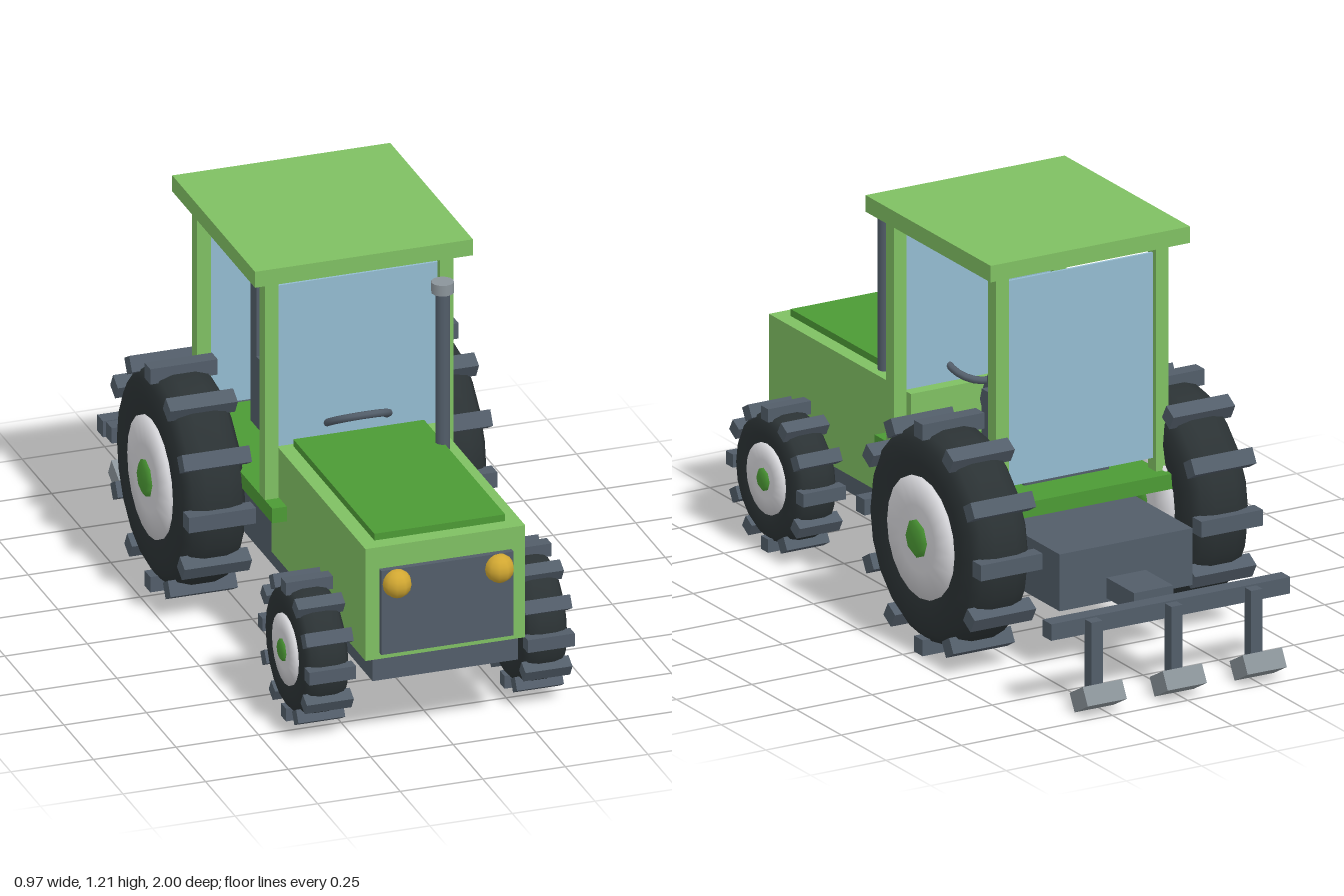
import * as THREE from 'three';

const mat = (name, color, extra = {}) => {
  const m = new THREE.MeshStandardMaterial({ color, ...extra });
  m.name = name;
  return m;
};

export function createModel() {
  const green = mat('leafGreen', 0x7fbf62);
  const darkGreen = mat('deepGreen', 0x4c9a35);
  const slate = mat('slate', 0x525d69);
  const rubber = mat('rubber', 0x2b3234);
  const rimWhite = mat('rimWhite', 0xd6d6da);
  const steel = mat('steel', 0x8b949a);
  const amber = mat('amber', 0xd2a832);
  const glass = mat('glassBlue', 0x93bbd0);

  const tractor = new THREE.Group();
  tractor.name = 'tractor';

  const add = (parent, name, geometry, material, x = 0, y = 0, z = 0) => {
    const mesh = new THREE.Mesh(geometry, material);
    mesh.name = name;
    mesh.position.set(x, y, z);
    parent.add(mesh);
    return mesh;
  };
  // Box given by its extents on each axis
  const box = (name, material, [x0, x1], [y0, y1], [z0, z1], parent = tractor) =>
    add(parent, name, new THREE.BoxGeometry(x1 - x0, y1 - y0, z1 - z0), material,
      (x0 + x1) / 2, (y0 + y1) / 2, (z0 + z1) / 2);
  const lathe = (points, sides) =>
    new THREE.LatheGeometry(points.map(p => new THREE.Vector2(...p)), sides).rotateZ(-Math.PI / 2);

  // Chassis and engine body
  box('chassis', slate, [-0.22, 0.22], [0.21, 0.277], [-0.655, 0.932]);
  box('rearHousing', slate, [-0.22, 0.22], [0.21, 0.382], [-0.655, 0.14]);
  box('engineBody', green, [-0.242, 0.242], [0.277, 0.628], [0.14, 0.933]);
  box('hoodPlate', darkGreen, [-0.198, 0.198], [0.628, 0.649], [0.2, 0.886]);
  box('grille', slate, [-0.2, 0.2], [0.297, 0.56], [0.93, 0.951]);
  for (const s of [-1, 1]) {
    add(tractor, 'headlight', new THREE.SphereGeometry(0.043, 10, 8), amber, s * 0.155, 0.518, 0.957);
  }

  // Exhaust
  add(tractor, 'exhaustPipe', new THREE.CylinderGeometry(0.021, 0.021, 0.5, 12), slate, 0.197, 0.87, 0.36);
  add(tractor, 'exhaustCap', new THREE.CylinderGeometry(0.033, 0.033, 0.033, 12), steel, 0.197, 1.136, 0.36);

  // Cab
  box('cabFloor', darkGreen, [-0.286, 0.286], [0.428, 0.474], [-0.45, 0.268]);
  box('roof', green, [-0.33, 0.33], [1.164, 1.214], [-0.455, 0.245]);
  for (const z of [0.183, -0.389]) {
    for (const x of [-0.265, 0.265]) {
      box('cabPost', green, [x - 0.021, x + 0.021], [0.474, 1.164], [z - 0.022, z + 0.022]);
    }
    box(z > 0 ? 'windscreen' : 'rearWindow', glass, [-0.244, 0.244], [0.51, 1.132], [z - 0.004, z + 0.004]);
  }

  // Seat
  box('seatBase', slate, [-0.14, 0.14], [0.474, 0.695], [-0.323, -0.083]);
  box('seatBack', slate, [-0.14, 0.14], [0.695, 0.913], [-0.323, -0.275]);

  // Steering: tilted ring and column
  const ring = add(tractor, 'steeringWheel',
    new THREE.TorusGeometry(0.091, 0.011, 8, 24).rotateX(Math.PI / 2), slate, 0, 0.681, 0.19);
  ring.rotation.x = -0.51;
  const column = add(tractor, 'steeringColumn',
    new THREE.CylinderGeometry(0.013, 0.013, 0.17, 8), slate, 0, 0.604, 0.122);
  column.rotation.x = -0.51;

  // Wheels: tyre with lugs, rim and hub, axis along x
  const makeWheel = (name, { radius, outer, half, rimR, hubR, lug }) => {
    const wheel = new THREE.Group();
    wheel.name = name;
    const h = half * 0.96;
    add(wheel, 'tyre', lathe([
      [rimR * 0.95, -h * 0.9], [rimR * 1.25, -h], [radius * 0.87, -h * 0.95], [radius * 0.96, -h * 0.75],
      [radius, -h * 0.35], [radius, h * 0.35],
      [radius * 0.96, h * 0.75], [radius * 0.87, h * 0.95], [rimR * 1.25, h], [rimR * 0.95, h * 0.9],
    ], 20), rubber);
    const r = half * 1.07;
    add(wheel, 'rim', lathe([[0, -r], [rimR * 0.55, -r * 0.98], [rimR, -r * 0.9],
      [rimR, r * 0.9], [rimR * 0.55, r * 0.98], [0, r]], 20), rimWhite);
    const e = half * 1.17;
    add(wheel, 'hub', lathe([[0, -e], [hubR * 0.65, -e], [hubR, -half],
      [hubR, half], [hubR * 0.65, e], [0, e]], 8), darkGreen);
    for (let i = 0; i < 12; i++) {
      const a = i * Math.PI / 6;
      const bar = add(wheel, 'treadLug', new THREE.BoxGeometry(half * 2, lug, lug), slate,
        0, Math.cos(a) * (outer - lug / 2), Math.sin(a) * (outer - lug / 2));
      bar.rotation.x = a;
    }
    return wheel;
  };
  const rear = { radius: 0.326, outer: 0.35, half: 0.102, rimR: 0.182, hubR: 0.066, lug: 0.048 };
  const front = { radius: 0.195, outer: 0.217, half: 0.071, rimR: 0.106, hubR: 0.04, lug: 0.04 };
  for (const s of [-1, 1]) {
    const side = s > 0 ? 'left' : 'right';
    const rw = makeWheel(side + 'RearWheel', rear);
    rw.position.set(s * 0.365, 0.362, -0.282);
    const fw = makeWheel(side + 'FrontWheel', front);
    fw.position.set(s * 0.331, 0.232, 0.688);
    tractor.add(rw, fw);
  }

  // Rear hitch and cultivator
  box('hitch', slate, [-0.065, 0.065], [0.222, 0.284], [-0.81, -0.64]);
  box('toolBar', slate, [-0.396, 0.396], [0.229, 0.279], [-0.905, -0.856]);
  for (const x of [-0.265, 0, 0.265]) {
    box('shank', slate, [x - 0.019, x + 0.019], [0.06, 0.274], [-0.94, -0.902]);
    const blade = add(tractor, 'blade', new THREE.BoxGeometry(0.13, 0.058, 0.084), steel, x, 0.052, -0.947);
    blade.rotation.x = 0.5;
  }

  return tractor;
}
